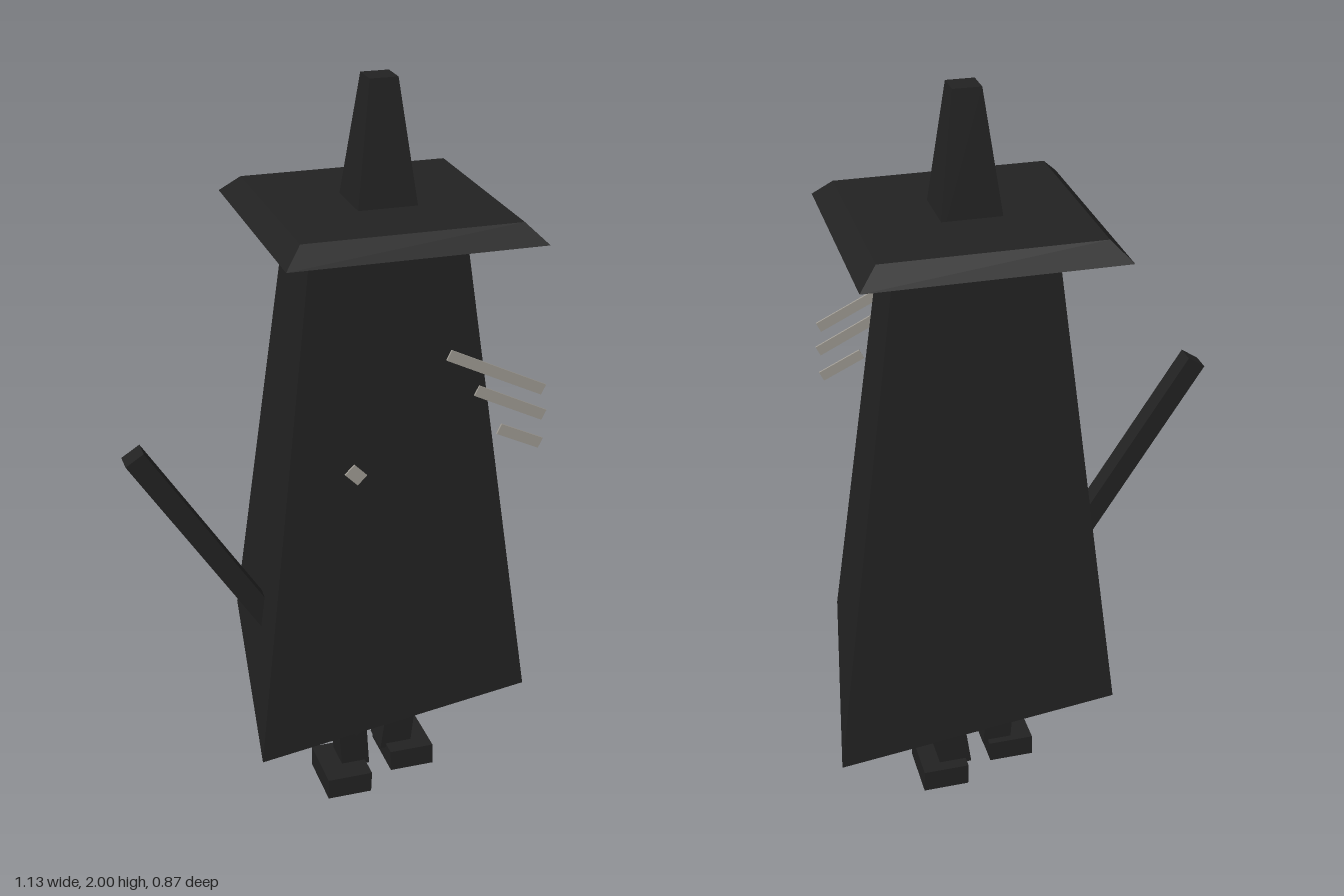
import * as THREE from 'three';

const dark = new THREE.MeshStandardMaterial({ name: 'charcoal', color: 0x222222 });
const pale = new THREE.MeshStandardMaterial({ name: 'paleGrey', color: 0xa09c94 });

// Four level corners: front right, front left, back left, back right
const rect = (x0, x1, z0, z1, y) => [[x0, y, z1], [x1, y, z1], [x1, y, z0], [x0, y, z0]];

// Flat-faced solid between two four-cornered rings
function block(name, bottom, top) {
  const p = [...bottom, ...top];
  const quads = [[3, 2, 1, 0], [4, 5, 6, 7]];
  for (let i = 0; i < 4; i++) {
    const j = (i + 1) % 4;
    quads.push([i, j, j + 4, i + 4]);
  }
  const positions = quads.flatMap(([a, b, c, d]) => [a, b, c, a, c, d].flatMap((i) => p[i]));
  const geometry = new THREE.BufferGeometry();
  geometry.setAttribute('position', new THREE.Float32BufferAttribute(positions, 3));
  geometry.computeVertexNormals();
  const mesh = new THREE.Mesh(geometry, dark);
  mesh.name = name;
  return mesh;
}

// Box bar running between two points in a plane of constant z
function bar(name, [x0, y0], [x1, y1], z, width, depth, material) {
  const length = Math.hypot(x1 - x0, y1 - y0);
  const mesh = new THREE.Mesh(new THREE.BoxGeometry(length, width, depth), material);
  mesh.position.set((x0 + x1) / 2, (y0 + y1) / 2, z);
  mesh.rotation.z = Math.atan2(y1 - y0, x1 - x0);
  mesh.name = name;
  return mesh;
}

export function createModel() {
  const model = new THREE.Group();
  model.name = 'cloakedFigure';

  // Cloak: skewed and slightly tilted four-sided taper
  model.add(block('cloak',
    [[-0.31, 0.385, 0.433], [0.443, 0.403, 0.315], [0.563, 0.42, -0.435], [-0.188, 0.405, -0.315]],
    [[-0.135, 1.622, 0.265], [0.283, 1.634, 0.2], [0.345, 1.638, -0.215], [-0.073, 1.628, -0.15]]));

  // Hat: bevelled square brim and tapered crown
  const hat = new THREE.Group();
  hat.name = 'hat';
  hat.add(block('brim',
    rect(-0.207, 0.44, -0.313, 0.334, 1.645), rect(-0.16, 0.392, -0.265, 0.286, 1.692)));
  hat.add(block('crown',
    rect(0.032, 0.202, -0.067, 0.103, 1.625), rect(0.079, 0.151, -0.018, 0.054, 2)));
  model.add(hat);

  // Legs lean apart; the right one steps forward
  model.add(block('rightLeg', rect(0.01, 0.09, 0, 0.082, 0.05), rect(-0.022, 0.06, 0.01, 0.096, 0.43)));
  model.add(block('leftLeg', rect(0.142, 0.232, -0.062, 0.028, 0.05), rect(0.19, 0.272, -0.06, 0.03, 0.43)));
  model.add(block('rightFoot', rect(-0.05, 0.075, -0.02, 0.148, 0.002), rect(-0.05, 0.077, -0.02, 0.148, 0.063)));
  model.add(block('leftFoot', rect(0.16, 0.287, -0.096, 0.072, 0), rect(0.158, 0.285, -0.096, 0.072, 0.063)));

  // Staff passing diagonally under the cloak, and a small peg below the brim
  model.add(bar('staff', [-0.547, 1.142], [0.045, 0.228], 0.141, 0.055, 0.056, dark));
  model.add(bar('peg', [0.28, 1.635], [0.375, 1.59], 0.06, 0.016, 0.025, dark));

  // Pale slashes and a diamond clasp across the front
  const slashes = [[[0.195, 1.393], [0.445, 1.272]], [[0.27, 1.291], [0.45, 1.203]], [[0.333, 1.18], [0.445, 1.127]]];
  slashes.forEach(([a, b], i) => model.add(bar('slash' + (i + 1), a, b, 0.33, 0.028, 0.005, pale)));
  model.add(bar('clasp', [-0.053, 1.124], [-0.021, 1.092], 0.332, 0.034, 0.005, pale));

  return model;
}
